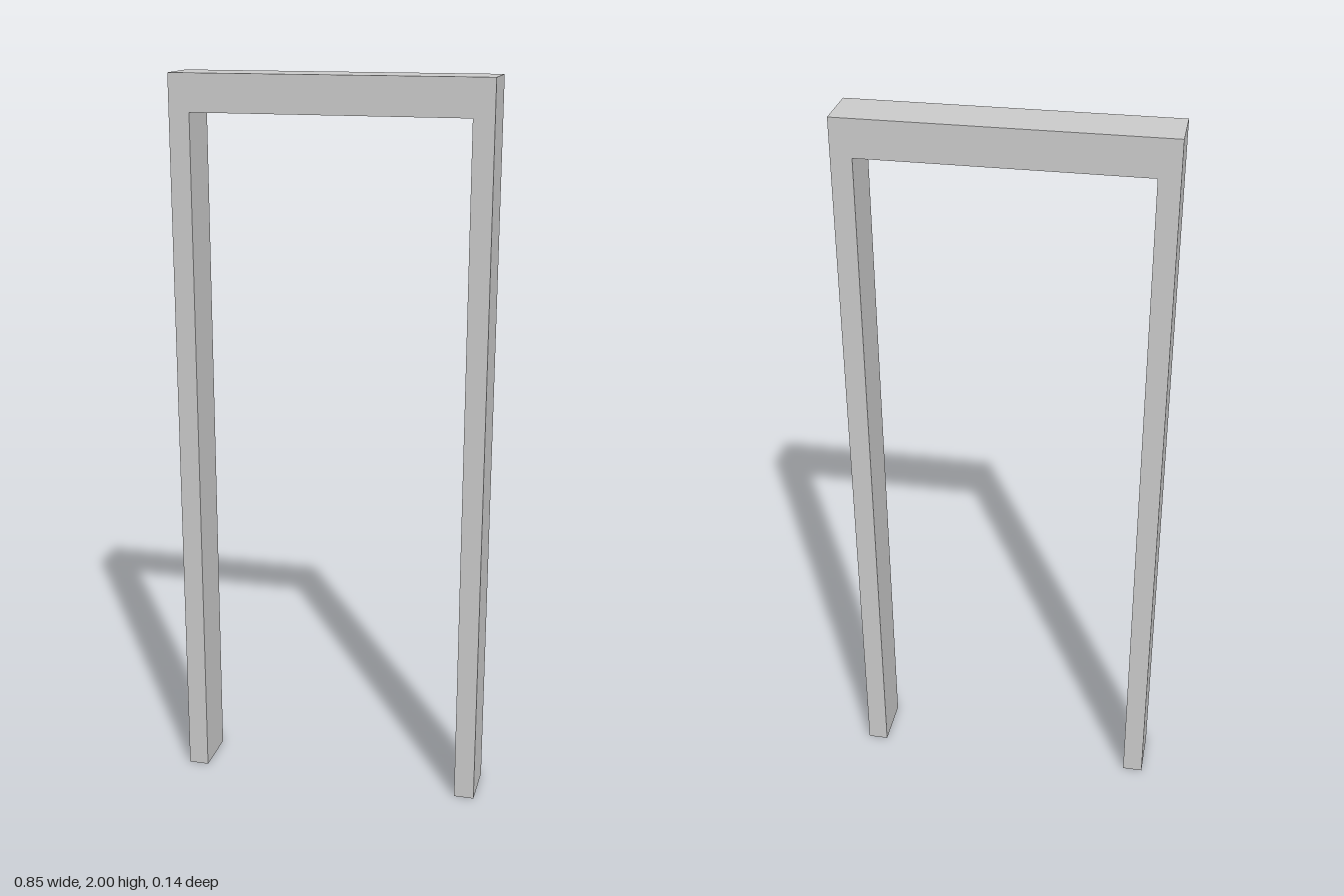
import * as THREE from 'three';

const HEIGHT = 2, DEPTH = 0.142;
const OUTER = 0.427, INNER = 0.371; // half-widths of the frame and its opening
const LINTEL = 0.1;

export function createModel() {
  const group = new THREE.Group();
  group.name = 'doorFrame';
  const material = new THREE.MeshStandardMaterial({ color: 0xcccccc });

  const addBoard = (name, width, height, x, y) => {
    const mesh = new THREE.Mesh(new THREE.BoxGeometry(width, height, DEPTH), material);
    mesh.name = name;
    mesh.position.set(x, y, 0);
    group.add(mesh);
  };

  // Full-height side posts
  for (const [name, side] of [['leftPost', 1], ['rightPost', -1]]) {
    addBoard(name, OUTER - INNER, HEIGHT, side * (OUTER + INNER) / 2, HEIGHT / 2);
  }

  // Lintel fitted between the posts, flush with their tops
  addBoard('lintel', INNER * 2, LINTEL, 0, HEIGHT - LINTEL / 2);

  return group;
}
